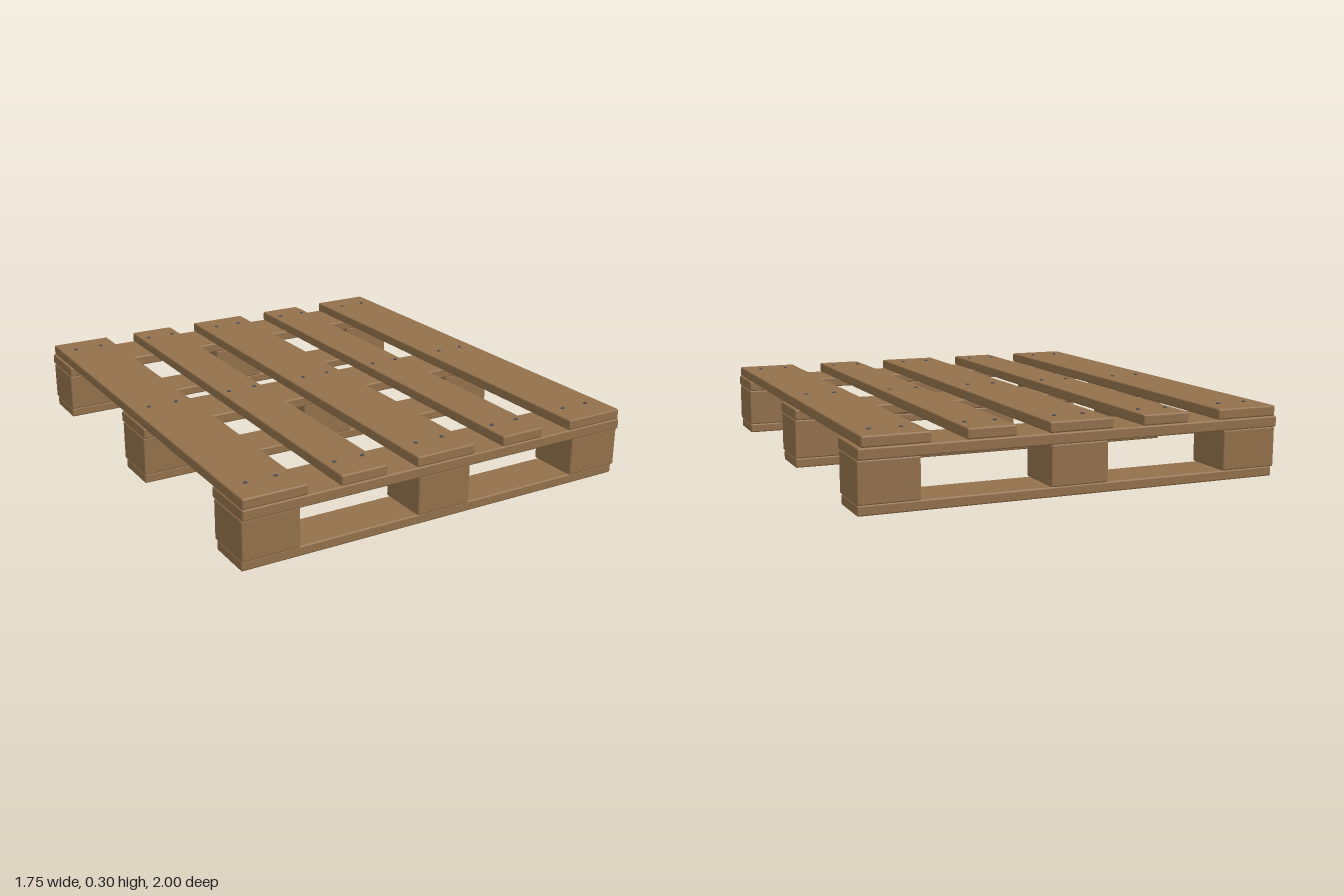
import * as THREE from 'three';
import { RoundedBoxGeometry } from 'three/addons/geometries/RoundedBoxGeometry.js';

export function createModel() {
  const model = new THREE.Group();
  model.name = 'pallet';
  const wood = new THREE.MeshStandardMaterial({ name: 'wood', color: 0x93714b });
  const steel = new THREE.MeshStandardMaterial({ name: 'nail steel', color: 0x505058 });

  // A softly eased plank or block, spanning y0 to y1
  function timber(name, width, y0, y1, depth, x, z, yaw = 0) {
    const geometry = new RoundedBoxGeometry(width, y1 - y0, depth, 2, 0.007);
    const mesh = new THREE.Mesh(geometry, wood);
    mesh.name = name;
    mesh.position.set(x, (y0 + y1) / 2, z);
    mesh.rotation.y = yaw;
    model.add(mesh);
  }

  // Three rows: bottom runner, three blocks, cross board
  const rows = [-0.878, -0.001, 0.876];
  for (const z of rows) {
    timber('bottomRunner', 1.745, 0, 0.041, 0.2, 0, z);
    for (const x of [-0.755, 0, 0.755]) timber('block', 0.24, 0.041, 0.205, 0.22, x, z);
    timber('crossBoard', 1.75, 0.205, 0.25, 0.242, 0, z);
  }

  // Deck boards, alternating wide and narrow, laid slightly askew
  const deck = [
    { x: -0.738, width: 0.265, yaw: -0.004 },
    { x: -0.368, width: 0.2, yaw: -0.003 },
    { x: -0.003, width: 0.267, yaw: 0 },
    { x: 0.364, width: 0.198, yaw: 0.002 },
    { x: 0.733, width: 0.265, yaw: 0.004 },
  ];
  const nailGeometry = new THREE.CylinderGeometry(0.008, 0.009, 0.01, 12);
  for (const { x, width, yaw } of deck) {
    timber('deckBoard', width, 0.25, 0.293, 1.994, x, 0, yaw);
    // A pair of nails into each row
    for (const z of rows) {
      for (const side of [-1, 1]) {
        const nail = new THREE.Mesh(nailGeometry, steel);
        nail.name = 'nail';
        nail.position.set(x + side * 0.061, 0.292, z);
        model.add(nail);
      }
    }
  }
  return model;
}
